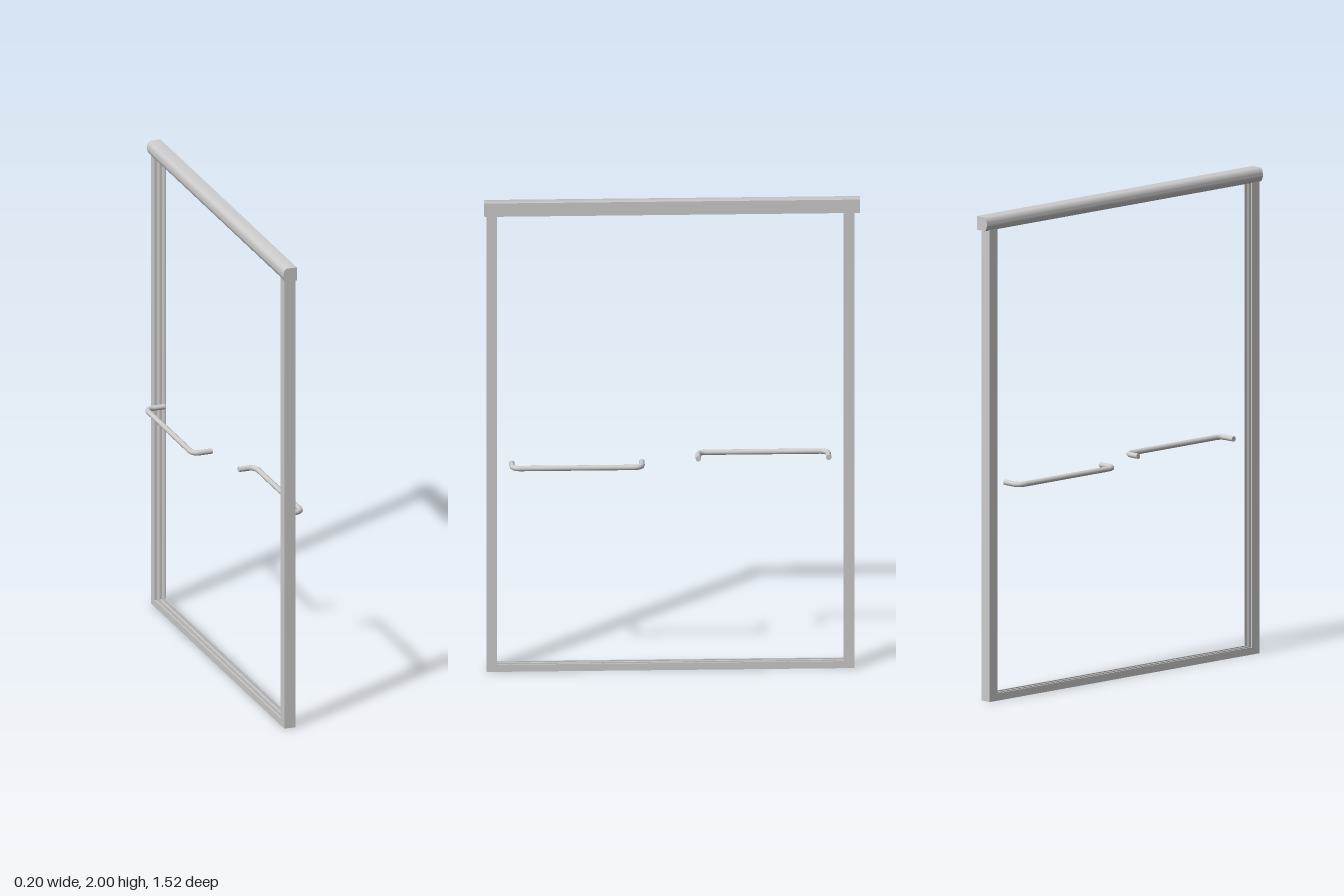
import * as THREE from 'three';
import { toCreasedNormals } from 'three/addons/utils/BufferGeometryUtils.js';

const material = new THREE.MeshStandardMaterial({ color: 0xcccccc });
const FRAME_X = -0.0025; // middle of the frame's thickness
const FRONT_Z = 0.75, BACK_Z = -0.737; // outer faces of the two jambs

function addMesh(parent, name, geometry) {
  const mesh = new THREE.Mesh(geometry, material);
  mesh.name = name;
  parent.add(mesh);
  return mesh;
}

const polygon = (points) => new THREE.Shape(points.map(([x, y]) => new THREE.Vector2(x, y)));
const extrude = (shape, depth) =>
  new THREE.ExtrudeGeometry(shape, { depth, bevelEnabled: false, curveSegments: 10 });

// Double-track section: a web with two outer lips and a middle fin
function trackShape(height, web) {
  const w = 0.0245, lip = 0.006, fin = 0.004;
  return polygon([
    [-w, 0], [w, 0], [w, height], [w - lip, height], [w - lip, web],
    [fin, web], [fin, height], [-fin, height], [-fin, web],
    [-w + lip, web], [-w + lip, height], [-w, height],
  ]);
}

// Header outline: flat on one side, bowed on the other, with an optional slot below
function headerShape(slot) {
  const s = new THREE.Shape();
  s.moveTo(0.023, 1.943);
  s.lineTo(0.023, 2);
  s.lineTo(-0.022, 2);
  s.bezierCurveTo(-0.04, 1.992, -0.04, 1.951, -0.022, 1.943);
  if (slot) {
    s.lineTo(-0.018, 1.943);
    s.lineTo(-0.018, 1.975);
    s.lineTo(0.016, 1.975);
    s.lineTo(0.016, 1.943);
  }
  s.closePath();
  return s;
}

// Bent bar: two legs and a grip, with rounded corners
function towelBar(side, zA, zB, legEnd) {
  const y = 0.89, x = side * 0.09, bend = 0.035;
  const p = (px, z) => new THREE.Vector3(px, y, z);
  const path = new THREE.CurvePath();
  path.add(new THREE.LineCurve3(p(legEnd, zA), p(x - side * bend, zA)));
  path.add(new THREE.QuadraticBezierCurve3(p(x - side * bend, zA), p(x, zA), p(x, zA + bend)));
  path.add(new THREE.LineCurve3(p(x, zA + bend), p(x, zB - bend)));
  path.add(new THREE.QuadraticBezierCurve3(p(x, zB - bend), p(x, zB), p(x - side * bend, zB)));
  path.add(new THREE.LineCurve3(p(x - side * bend, zB), p(legEnd, zB)));
  return new THREE.TubeGeometry(path, 120, 0.011, 16, false);
}

export function createModel() {
  const model = new THREE.Group();
  model.name = 'slidingDoorFrame';

  // Header rail, slotted underneath and closed at both ends
  const header = new THREE.Group();
  header.name = 'header';
  model.add(header);
  const rail = toCreasedNormals(extrude(headerShape(true), 1.5), 0.6);
  addMesh(header, 'headerRail', rail).position.z = -0.75;
  const cap = toCreasedNormals(extrude(headerShape(false), 0.01), 0.6);
  for (const z of [-0.76, 0.75]) addMesh(header, 'headerEndCap', cap).position.z = z;

  // Side jambs, tracks facing inward
  const jambGeometry = extrude(trackShape(0.042, 0.012), 1.95).rotateX(-Math.PI / 2);
  addMesh(model, 'frontJamb', jambGeometry).position.set(FRAME_X, 0, FRONT_Z);
  const backJamb = addMesh(model, 'backJamb', jambGeometry);
  backJamb.position.set(FRAME_X, 0, BACK_Z);
  backJamb.rotation.y = Math.PI;

  // Bottom sill, tracks facing up
  const sill = extrude(trackShape(0.03, 0.01), FRONT_Z - BACK_Z - 0.002);
  addMesh(model, 'sill', sill).position.set(FRAME_X, 0, BACK_Z + 0.001);

  // One towel bar on each face, at opposite ends
  const bars = [
    { name: 'leftTowelBar', side: 1, zA: 0.123, zB: 0.649, legEnd: 0.018 },
    { name: 'rightTowelBar', side: -1, zA: -0.634, zB: -0.107, legEnd: -0.008 },
  ];
  for (const { name, side, zA, zB, legEnd } of bars) {
    const bar = new THREE.Group();
    bar.name = name;
    model.add(bar);
    addMesh(bar, 'bar', towelBar(side, zA, zB, legEnd));
    for (const z of [zA, zB]) {
      const end = addMesh(bar, 'barEnd', new THREE.CircleGeometry(0.011, 16));
      end.position.set(legEnd, 0.89, z);
      end.rotation.y = -side * Math.PI / 2;
    }
  }
  return model;
}
